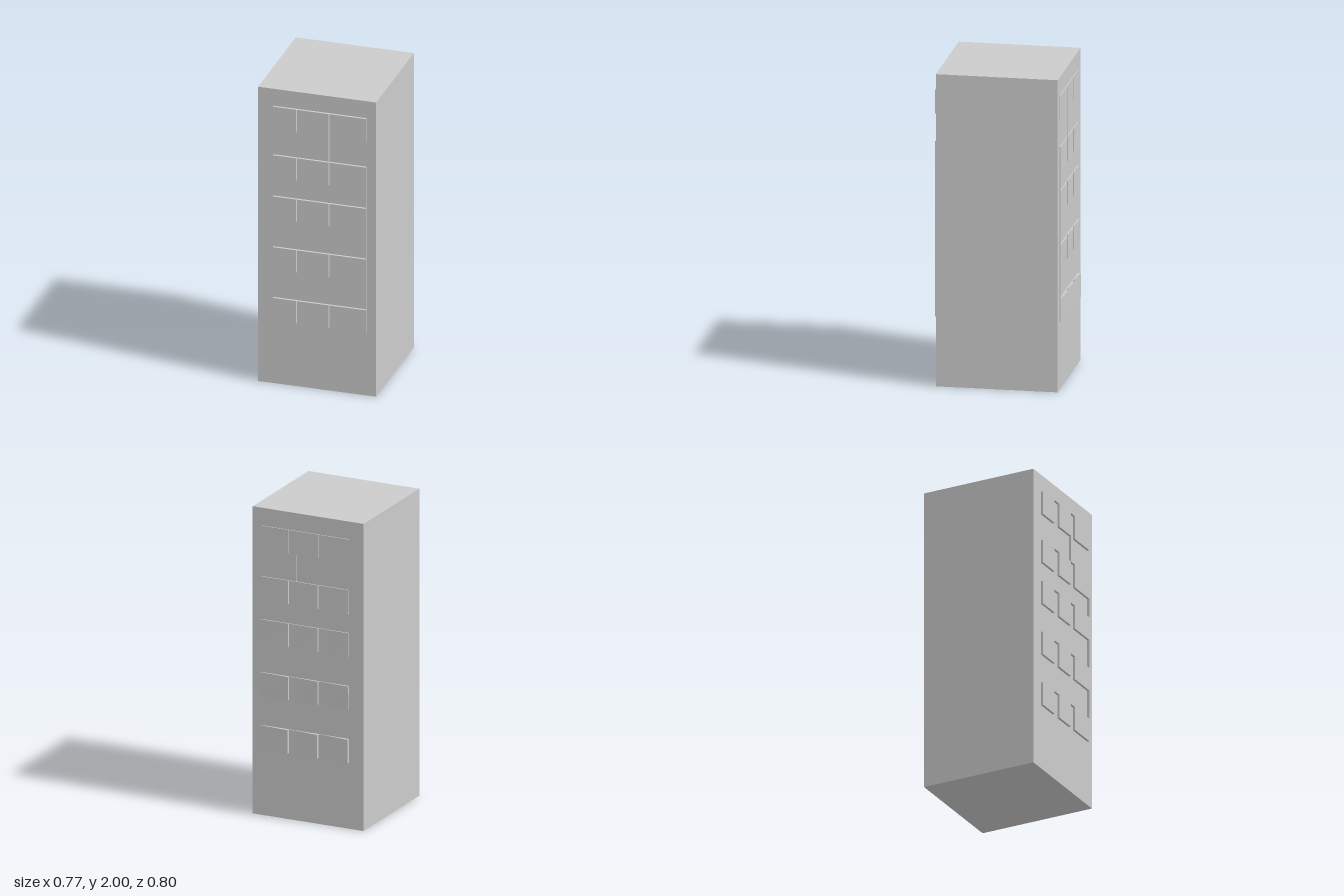
import * as THREE from 'three';

const material = new THREE.MeshStandardMaterial({ color: 0xcccccc, flatShading: true });
const thin = new THREE.MeshStandardMaterial({ color: 0xcccccc, flatShading: true, side: THREE.DoubleSide });

const FRONT = 0.385, BACK = -0.381;
const columns = [[-0.283, -0.132], [-0.07, 0.08], [0.134, 0.321]];
// bottom, top, then outer back depth at the bottom and top
const rows = [
  [1.73, 1.885, -0.385, -0.385],
  [1.4, 1.555, -0.393, -0.388],
  [1.12, 1.275, -0.39, -0.389],
  [0.775, 0.93, -0.388, -0.395],
  [0.43, 0.585, -0.401, -0.401],
];

// Window block between wall and an outer surface given by depth(x01, y01)
function windowBlock(name, [x0, x1], y0, y1, wall, depth) {
  const geo = new THREE.BoxGeometry(1, 1, 1);
  const p = geo.attributes.position;
  const outward = Math.sign(wall);
  for (let i = 0; i < p.count; i++) {
    const u = p.getX(i) + 0.5, v = p.getY(i) + 0.5;
    const z = p.getZ(i) * outward > 0 ? depth(u, v) : wall;
    p.setXYZ(i, x0 + (x1 - x0) * u, y0 + (y1 - y0) * v, z);
  }
  geo.computeVertexNormals();
  const mesh = new THREE.Mesh(geo, material);
  mesh.name = name;
  return mesh;
}

// Thin fin standing straight out from the wall, horizontal or vertical
function fin(name, xa, ya, xb, yb, wall, outer) {
  const geo = new THREE.PlaneGeometry(1, 1);
  const p = geo.attributes.position;
  for (let i = 0; i < p.count; i++) {
    const t = p.getX(i) + 0.5;
    p.setXYZ(i, xa + (xb - xa) * t, ya + (yb - ya) * t, p.getY(i) > 0 ? outer : wall);
  }
  geo.computeVertexNormals();
  const mesh = new THREE.Mesh(geo, thin);
  mesh.name = name;
  return mesh;
}

export function createModel() {
  const model = new THREE.Group();
  model.name = 'towerBlock';

  // Plain tower body
  const body = new THREE.Mesh(new THREE.BoxGeometry(0.766, 2, FRONT - BACK), material);
  body.name = 'body';
  body.position.set(0, 1, (FRONT + BACK) / 2);
  model.add(body);

  const front = new THREE.Group();
  front.name = 'frontWindows';
  const back = new THREE.Group();
  back.name = 'backWindows';
  model.add(front, back);

  // Five floors of three windows; the back ones lean outwards on one side
  for (const [y0, y1, zBottom, zTop] of rows) {
    for (const column of columns) {
      front.add(windowBlock('frontWindow', column, y0, y1, FRONT, () => 0.4));
      back.add(windowBlock('backWindow', column, y0, y1, BACK, (u, v) => {
        const deep = zBottom + (zTop - zBottom) * v;
        return deep + (Math.max(deep, -0.388) - deep) * u;
      }));
    }
  }

  // Ledges over each floor and upright fins between floors
  for (const [group, wall, outer] of [[front, FRONT, 0.4], [back, BACK, -0.387]]) {
    for (const [, top] of rows) group.add(fin('ledge', -0.283, top, 0.321, top, wall, outer));
    group.add(fin('upperFin', 0.08, 1.555, 0.08, 1.73, wall, outer));
    group.add(fin('edgeFin', 0.321, 0.43, 0.321, 1.555, wall, outer));
  }
  return model;
}
